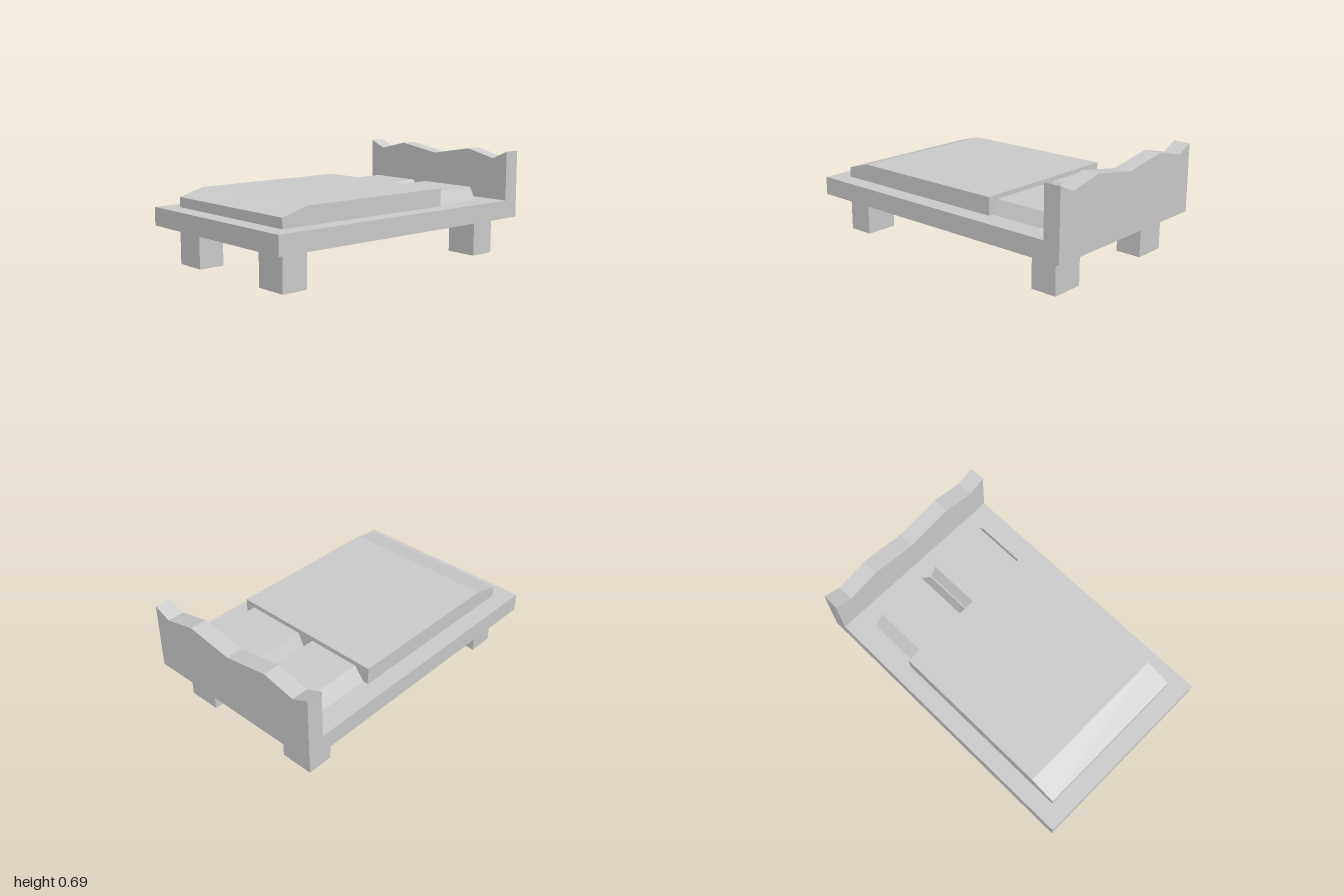
import * as THREE from 'three';

const material = new THREE.MeshStandardMaterial({ color: 0xcccccc, flatShading: true });

// Extrudes an outline of [x, y] points along z, from zBack to zFront.
function prism(name, points, zBack, zFront) {
  const shape = new THREE.Shape(points.map(([x, y]) => new THREE.Vector2(x, y)));
  const geometry = new THREE.ExtrudeGeometry(shape, { depth: zFront - zBack, bevelEnabled: false });
  geometry.translate(0, 0, zBack);
  const mesh = new THREE.Mesh(geometry, material);
  mesh.name = name;
  return mesh;
}

function box(name, [x0, x1], [y0, y1], [z0, z1]) {
  const mesh = new THREE.Mesh(new THREE.BoxGeometry(x1 - x0, y1 - y0, z1 - z0), material);
  mesh.position.set((x0 + x1) / 2, (y0 + y1) / 2, (z0 + z1) / 2);
  mesh.name = name;
  return mesh;
}

export function createModel() {
  const bed = new THREE.Group();
  bed.name = 'bed';
  const halfWidth = 0.645, frameBottom = 0.247, frameTop = 0.367;

  // Base slab
  bed.add(box('frame', [-halfWidth, halfWidth], [frameBottom, frameTop], [-1, 1]));

  // Four square legs
  for (const [side, sx] of [['Left', 1], ['Right', -1]]) {
    for (const [end, sz] of [['front', 1], ['back', -1]]) {
      const leg = box(`${end}${side}Leg`, [-0.11, 0.11], [0, frameBottom], [-0.087, 0.087]);
      leg.position.x = sx * 0.42;
      leg.position.z = sz * 0.8;
      bed.add(leg);
    }
  }

  // Headboard with a zigzag crest, mirrored about the middle
  const crest = [[halfWidth, 0.692], [0.53, 0.641], [0.312, 0.692]];
  bed.add(prism('headboard', [
    [-halfWidth, frameTop], [halfWidth, frameTop],
    ...crest, [0, 0.641],
    ...crest.map(([x, y]) => [-x, y]).reverse(),
  ], -1, -0.89));

  // Mattress with a sloped foot: side profile (z, y) turned to run across x
  const mattress = prism('mattress', [
    [-0.885, frameTop], [0.383, frameTop], [0.383, 0.481], [-0.71, 0.481], [-0.885, 0.432],
  ], -0.53, 0.53);
  mattress.rotation.y = Math.PI / 2;
  bed.add(mattress);

  // Two pillows with sloping sides: bottom x range, then top x range
  const pillows = [
    ['rightPillow', -0.495, 0.0, -0.427, -0.07],
    ['leftPillow', 0.008, 0.502, 0.05, 0.458],
  ];
  for (const [name, b0, b1, t0, t1] of pillows) {
    bed.add(prism(name, [[b0, frameTop], [b1, frameTop], [t1, 0.453], [t0, 0.453]], -0.75, -0.385));
  }

  return bed;
}
